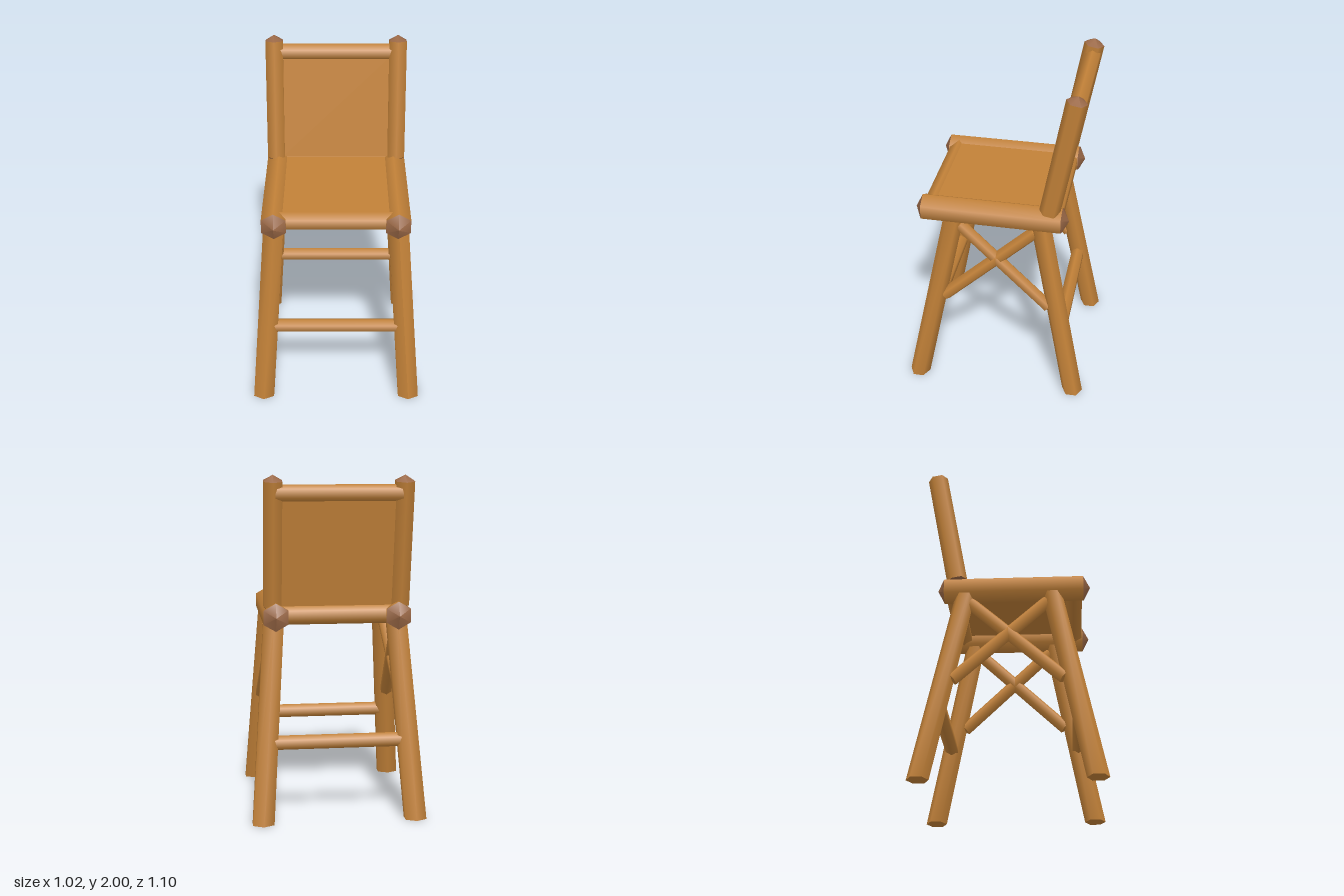
import * as THREE from 'three';

const wood = new THREE.MeshStandardMaterial({ color: 0xc28138 });
wood.name = 'wood';
const endGrain = new THREE.MeshStandardMaterial({ color: 0x9a6846 });
endGrain.name = 'end grain';

const V = (x, y, z) => new THREE.Vector3(x, y, z);
const UP = V(0, 1, 0);

// Six-sided log from a to b with a low pointed cap at each end
function log(name, a, b, r, { cap = 0.035, capMaterial = wood, turn = 0 } = {}) {
  const group = new THREE.Group();
  group.name = name;
  const length = a.distanceTo(b);
  const shaft = new THREE.Mesh(new THREE.CylinderGeometry(r, r, length, 6, 1, true, turn), wood);
  shaft.name = name + 'Shaft';
  group.add(shaft);
  for (const s of [1, -1]) {
    const geometry = new THREE.ConeGeometry(r, cap, 6, 1, true, turn);
    if (s < 0) geometry.rotateX(Math.PI);
    const end = new THREE.Mesh(geometry, capMaterial);
    end.name = name + 'End';
    end.position.y = s * (length + cap) / 2;
    group.add(end);
  }
  group.position.copy(a).add(b).multiplyScalar(0.5);
  group.quaternion.setFromUnitVectors(UP, b.clone().sub(a).normalize());
  return group;
}

// Splayed leg with level top and foot, made by shearing a six-sided cylinder
const legX = y => 0.447 - 0.072 * y;
const legZ = y => 0.487 - 0.2 * y;
function leg(sx, sz) {
  const height = 1.18;
  const geometry = new THREE.CylinderGeometry(0.062, 0.065, height, 6);
  geometry.scale(1.1, 1, 0.96);
  geometry.translate(0, height / 2, 0);
  const p = geometry.attributes.position;
  for (let i = 0; i < p.count; i++) {
    const y = p.getY(i);
    p.setX(i, p.getX(i) + sx * legX(y));
    p.setZ(i, p.getZ(i) + sz * legZ(y));
  }
  geometry.computeVertexNormals();
  const mesh = new THREE.Mesh(geometry, wood);
  mesh.name = sz > 0 ? 'frontLeg' : 'backLeg';
  return mesh;
}

export function createModel() {
  const chair = new THREE.Group();
  chair.name = 'logChair';
  const turn = Math.PI / 6;
  const grain = { capMaterial: endGrain };

  for (const s of [1, -1]) {
    // Side rails of the seat and leaning back posts
    chair.add(log('seatSideRail', V(s * 0.357, 1.19, -0.378), V(s * 0.357, 1.19, 0.44), 0.082, { cap: 0.04, ...grain }));
    chair.add(log('backPost', V(s * 0.373, 1.25, -0.306), V(s * 0.373, 1.966, -0.439), 0.06, grain));

    // Legs and crossed braces on each side
    for (const f of [1, -1]) {
      chair.add(leg(s, f));
      chair.add(log('crossBrace', V(s * 0.408, 0.6, f * 0.317), V(s * 0.368, 1.1, -f * 0.225), 0.039, { cap: 0.015 }));
    }

    // Cross rails of the seat and stretchers between the legs
    const z = s > 0 ? 0.383 : -0.325;
    chair.add(log('seatCrossRail', V(-0.35, 1.198, z), V(0.35, 1.198, z), 0.057, { turn }));
    const zs = s * legZ(0.457);
    chair.add(log('stretcher', V(-0.39, 0.457, zs), V(0.39, 0.457, zs), 0.043, { cap: 0.015, turn }));
  }

  // Top rail of the back
  chair.add(log('backTopRail', V(-0.36, 1.897, -0.436), V(0.36, 1.897, -0.436), 0.05, { cap: 0.02, turn }));

  // Seat panel
  const seat = new THREE.Mesh(new THREE.BoxGeometry(0.68, 0.04, 0.71), wood);
  seat.name = 'seatPanel';
  seat.position.set(0, 1.223, 0.03);
  chair.add(seat);

  // Back panel, leaning with the posts
  const back = new THREE.Mesh(new THREE.BoxGeometry(0.72, 0.69, 0.025), wood);
  back.name = 'backPanel';
  back.position.set(0, 1.555, -0.379);
  back.rotation.x = -Math.atan(0.186);
  chair.add(back);

  return chair;
}
